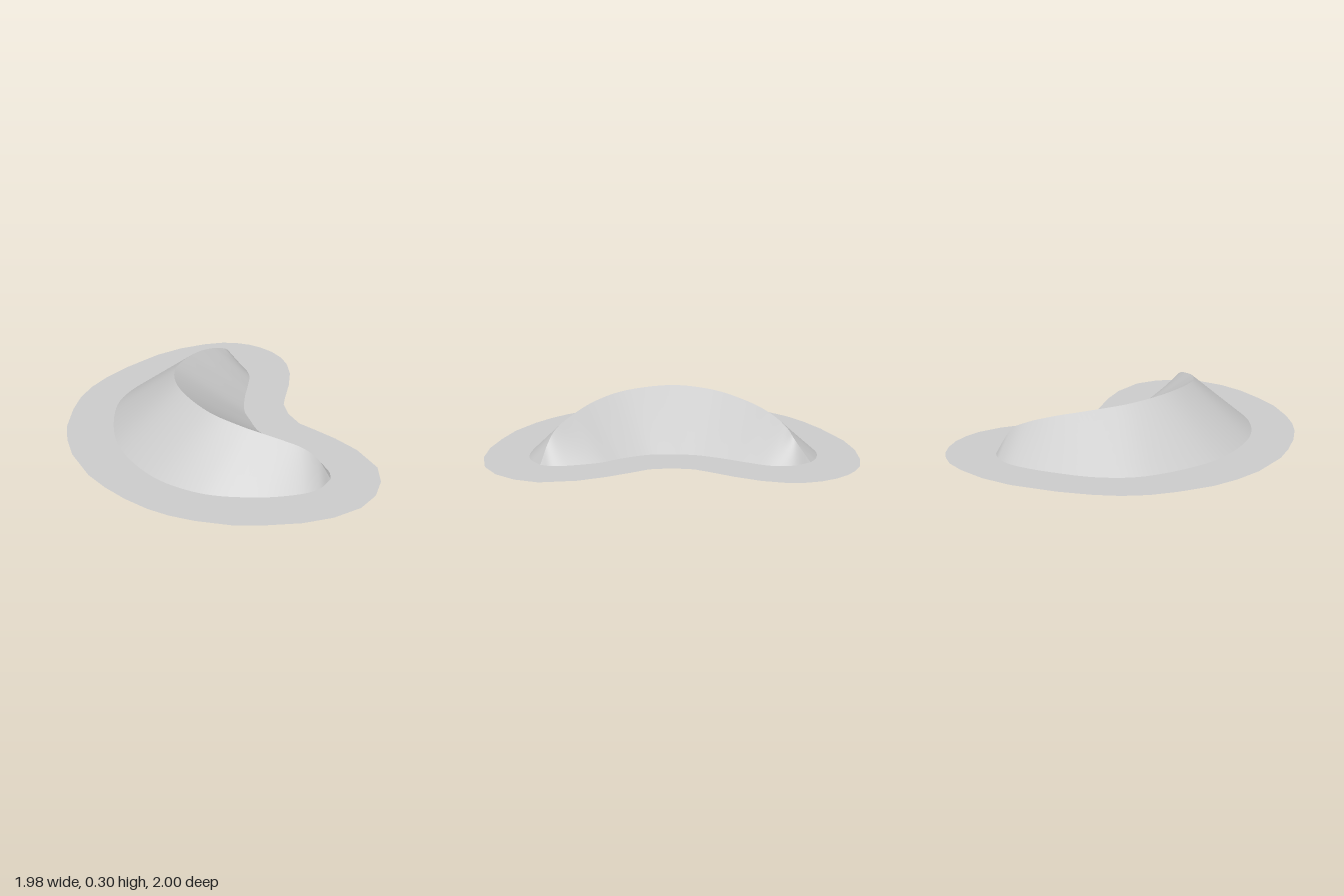
import * as THREE from 'three';

const material = new THREE.MeshStandardMaterial({ color: 0xcccccc, side: THREE.DoubleSide });
const STEPS = 96;

// Matching stations from one horn tip to the other: foot [x, z], crest [x, z, y], foot [x, z]
const TIP_A = [-0.36, -0.722], TIP_B = [0.715, 0.345];
const outerFoot = [TIP_A, [-0.44, -0.7], [-0.54, -0.62], [-0.65, -0.42], [-0.74, -0.15], [-0.72, 0.12],
  [-0.52, 0.47], [-0.2, 0.695], [0.12, 0.75], [0.4, 0.675], [0.6, 0.56], [0.69, 0.46], TIP_B];
const crest = [TIP_A, [-0.32, -0.64, 0.12], [-0.35, -0.55, 0.175], [-0.385, -0.4, 0.22], [-0.4, -0.22, 0.252],
  [-0.37, 0.02, 0.282], [-0.235, 0.235, 0.298], [0, 0.385, 0.284], [0.22, 0.42, 0.256], [0.42, 0.4, 0.216],
  [0.56, 0.375, 0.175], [0.645, 0.355, 0.11], TIP_B];
const innerFoot = [TIP_A, [-0.25, -0.69], [-0.16, -0.6], [-0.11, -0.46], [-0.07, -0.32], [-0.01, -0.17],
  [0.07, -0.07], [0.17, 0.03], [0.32, 0.095], [0.46, 0.13], [0.6, 0.21], [0.68, 0.275], TIP_B];

// Outline of the flat sand around the dune, [x, z]
const groundEdge = [[-0.33, -1], [-0.41, -0.99], [-0.5, -0.96], [-0.6, -0.89], [-0.72, -0.77], [-0.82, -0.62],
  [-0.92, -0.38], [-0.97, -0.2], [-0.99, -0.06], [-0.985, 0.08], [-0.95, 0.23], [-0.88, 0.42], [-0.8, 0.55],
  [-0.69, 0.68], [-0.5, 0.83], [-0.36, 0.9], [-0.21, 0.955], [-0.06, 0.99], [0.07, 1], [0.21, 0.99],
  [0.4, 0.95], [0.56, 0.88], [0.72, 0.79], [0.85, 0.68], [0.95, 0.54], [0.985, 0.4], [0.97, 0.26],
  [0.91, 0.13], [0.75, 0], [0.6, -0.07], [0.45, -0.12], [0.35, -0.15], [0.25, -0.23], [0.18, -0.33],
  [0.16, -0.4], [0.12, -0.57], [0.07, -0.72], [0, -0.84], [-0.07, -0.91], [-0.15, -0.96], [-0.24, -0.99]];

function sample(stations) {
  const curve = new THREE.CatmullRomCurve3(
    stations.map(([x, z, y = 0]) => new THREE.Vector3(x, y, z)), false, 'catmullrom', 0.5);
  return curve.getPoints(STEPS);
}

// Smooth surface ruled between two matching curves
function slope(name, from, to, rows = 6) {
  const positions = [], index = [];
  const p = new THREE.Vector3();
  for (let i = 0; i <= STEPS; i++) {
    for (let j = 0; j <= rows; j++) {
      p.lerpVectors(from[i], to[i], j / rows);
      positions.push(p.x, p.y, p.z);
    }
  }
  for (let i = 0; i < STEPS; i++) {
    for (let j = 0; j < rows; j++) {
      const a = i * (rows + 1) + j, b = a + rows + 1;
      index.push(a, b, a + 1, b, b + 1, a + 1);
    }
  }
  const geometry = new THREE.BufferGeometry();
  geometry.setAttribute('position', new THREE.Float32BufferAttribute(positions, 3));
  geometry.setIndex(index);
  geometry.computeVertexNormals();
  const mesh = new THREE.Mesh(geometry, material);
  mesh.name = name;
  return mesh;
}

export function createModel() {
  const group = new THREE.Group();
  group.name = 'crescentDune';
  const outer = sample(outerFoot), ridge = sample(crest), inner = sample(innerFoot);

  // Long windward back and the hollow slip face, meeting at a sharp crest
  group.add(slope('windwardSlope', outer, ridge), slope('slipFace', ridge, inner));

  // Flat sand skirt, open beneath the dune
  const shape = new THREE.Shape(groundEdge.map(([x, z]) => new THREE.Vector2(x, -z)));
  const footprint = [...outer, ...inner.slice(1, -1).reverse()];
  shape.holes.push(new THREE.Path(footprint.map((p) => new THREE.Vector2(p.x, -p.z))));
  const ground = new THREE.Mesh(new THREE.ShapeGeometry(shape).rotateX(-Math.PI / 2), material);
  ground.name = 'sandSkirt';
  group.add(ground);

  return group;
}
